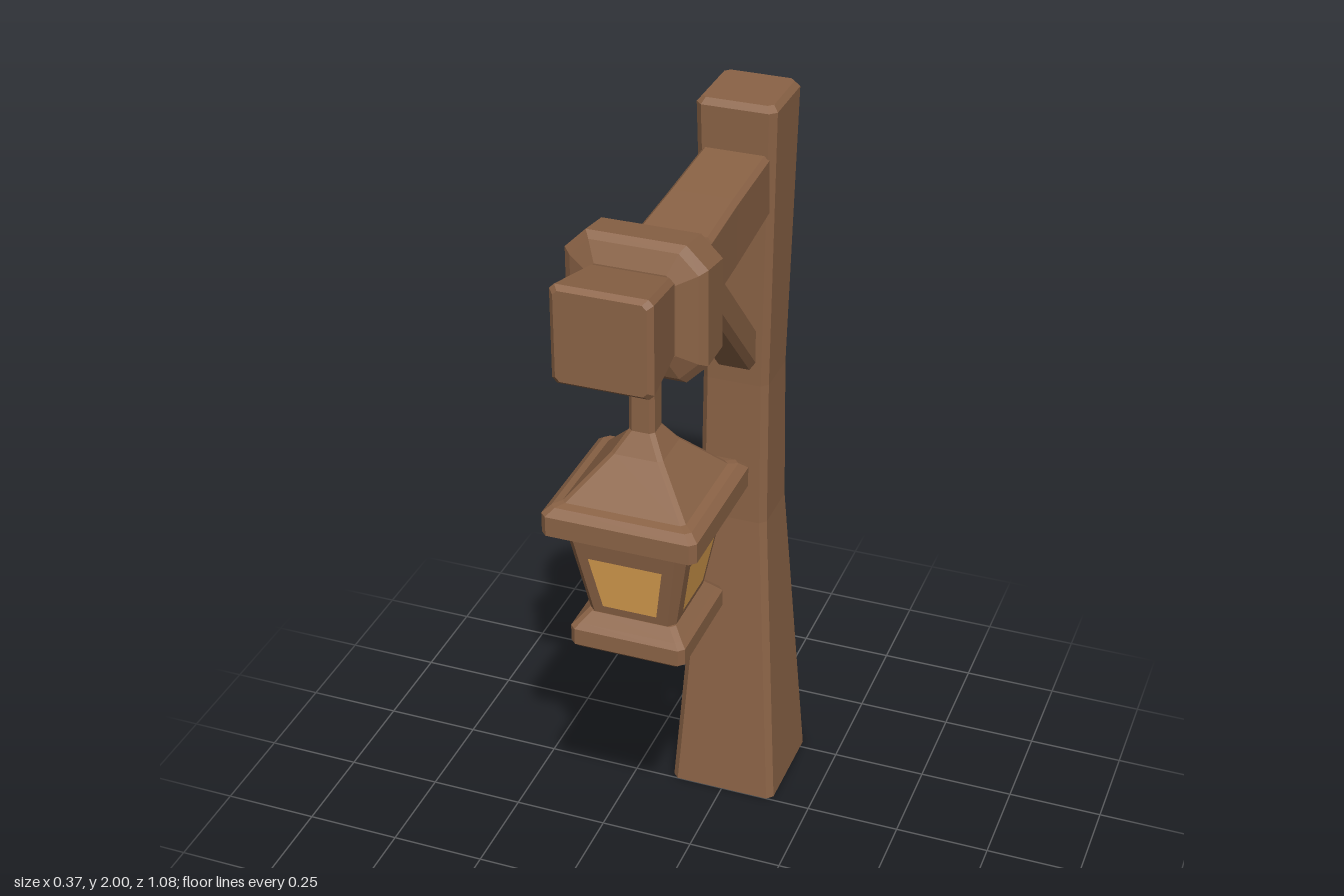
import * as THREE from 'three';

const wood = new THREE.MeshStandardMaterial({ color: 0x8b6346, flatShading: true, side: THREE.DoubleSide });
const glow = new THREE.MeshStandardMaterial({ color: 0xe0a452, flatShading: true, side: THREE.DoubleSide });

// Chamfered rectangle of half sizes hu, hv at height t, shifted by ov along z
function ring([t, hu, hv, c, ov = 0]) {
  return [
    [hu, -hv + c], [hu, hv - c], [hu - c, hv], [-hu + c, hv],
    [-hu, hv - c], [-hu, -hv + c], [-hu + c, -hv], [hu - c, -hv],
  ].map(([u, v]) => [u, t, v + ov]);
}

// Skin a row of chamfered sections [t, hu, hv, chamfer, offset], stacked along y
function loft(name, sections, capStart = true, capEnd = true) {
  const rings = sections.map(ring);
  const pos = [];
  const tri = (...pts) => pts.forEach((p) => pos.push(...p));
  for (let i = 0; i < rings.length - 1; i++) {
    for (let j = 0; j < 8; j++) {
      const k = (j + 1) % 8;
      const a = rings[i][j], b = rings[i][k], c = rings[i + 1][k], d = rings[i + 1][j];
      tri(a, d, c);
      tri(a, c, b);
    }
  }
  const first = rings[0], last = rings[rings.length - 1];
  for (let j = 1; j < 7; j++) {
    if (capStart) tri(first[0], first[j], first[j + 1]);
    if (capEnd) tri(last[0], last[j + 1], last[j]);
  }
  const geo = new THREE.BufferGeometry();
  geo.setAttribute('position', new THREE.Float32BufferAttribute(pos, 3));
  geo.computeVertexNormals();
  const mesh = new THREE.Mesh(geo, wood);
  mesh.name = name;
  return mesh;
}

// Section for a part running along z, from its lower and upper y
const along = (z, hx, y0, y1, c) => [z, hx, (y1 - y0) / 2, c, -(y0 + y1) / 2];
// Square section
const sq = (y, h, c) => [y, h, h, c];

function createLantern() {
  const lantern = new THREE.Group();
  lantern.name = 'lantern';

  lantern.add(loft('hangerAndRoof', [
    sq(1.215, 0.15, 0.012), sq(1.24, 0.187, 0.015), sq(1.29, 0.187, 0.015), sq(1.307, 0.168, 0.012),
    sq(1.312, 0.148, 0.01), sq(1.41, 0.062, 0.01), sq(1.46, 0.031, 0.01), sq(1.66, 0.031, 0.01),
  ]));
  lantern.add(loft('lanternBody', [sq(0.99, 0.105, 0.016), sq(1.22, 0.147, 0.022)]));
  lantern.add(loft('lanternBase', [
    sq(0.91, 0.132, 0.012), sq(0.92, 0.142, 0.014), sq(0.962, 0.142, 0.014),
    sq(0.975, 0.13, 0.012), sq(1.0, 0.108, 0.012),
  ]));

  // One tapered pane on each side
  const pane = new THREE.Shape([[-0.066, 0.035], [0.066, 0.035], [0.09, 0.18], [-0.09, 0.18]]
    .map(([x, y]) => new THREE.Vector2(x, y)));
  const paneGeo = new THREE.ShapeGeometry(pane);
  for (let i = 0; i < 4; i++) {
    const side = new THREE.Group();
    side.name = 'paneSide';
    side.rotation.y = (i * Math.PI) / 2;
    const glass = new THREE.Mesh(paneGeo, glow);
    glass.name = 'glassPane';
    glass.position.set(0, 0.99, 0.108);
    glass.rotation.x = Math.atan2(0.042, 0.23);
    side.add(glass);
    lantern.add(side);
  }
  lantern.position.z = 0.288;
  return lantern;
}

export function createModel() {
  const model = new THREE.Group();
  model.name = 'lanternPost';

  // Post, flared at the foot and open underneath
  model.add(loft('post', [
    [0, 0.145, 0.145, 0.016, -0.395],
    [0.85, 0.09, 0.088, 0.016, -0.397],
    [1.25, 0.086, 0.081, 0.016, -0.396],
    [1.985, 0.1, 0.099, 0.016, -0.397],
    [2.0, 0.088, 0.087, 0.012, -0.397],
  ], false, true));

  // Sagging arm that swells towards its free end
  const beam = loft('beam', [
    along(-0.34, 0.085, 1.72, 1.88, 0.012),
    along(-0.08, 0.086, 1.69, 1.866, 0.012),
    along(0.1, 0.09, 1.68, 1.855, 0.012),
    along(0.22, 0.095, 1.685, 1.865, 0.012),
    along(0.36, 0.1, 1.69, 1.885, 0.012),
    along(0.53, 0.117, 1.68, 1.917, 0.012),
    along(0.542, 0.105, 1.69, 1.907, 0.01),
  ]);

  // Band around the arm
  const collar = loft('collar', [
    along(0.215, 0.1, 1.675, 1.875, 0.03),
    along(0.225, 0.148, 1.637, 1.92, 0.045),
    along(0.242, 0.165, 1.62, 1.936, 0.05),
    along(0.332, 0.165, 1.618, 1.95, 0.05),
    along(0.347, 0.148, 1.632, 1.935, 0.045),
    along(0.368, 0.103, 1.68, 1.89, 0.02),
  ]);
  for (const part of [beam, collar]) {
    part.rotation.x = Math.PI / 2;
    model.add(part);
  }

  // Diagonal brace from the post to the arm
  const brace = loft('brace', [
    [-0.06, 0.056, 0.046, 0.016],
    [0.52, 0.056, 0.046, 0.016],
  ]);
  brace.position.set(0, 1.36, -0.313);
  brace.rotation.x = Math.atan2(0.32, 0.335);
  model.add(brace);

  model.add(createLantern());
  return model;
}
